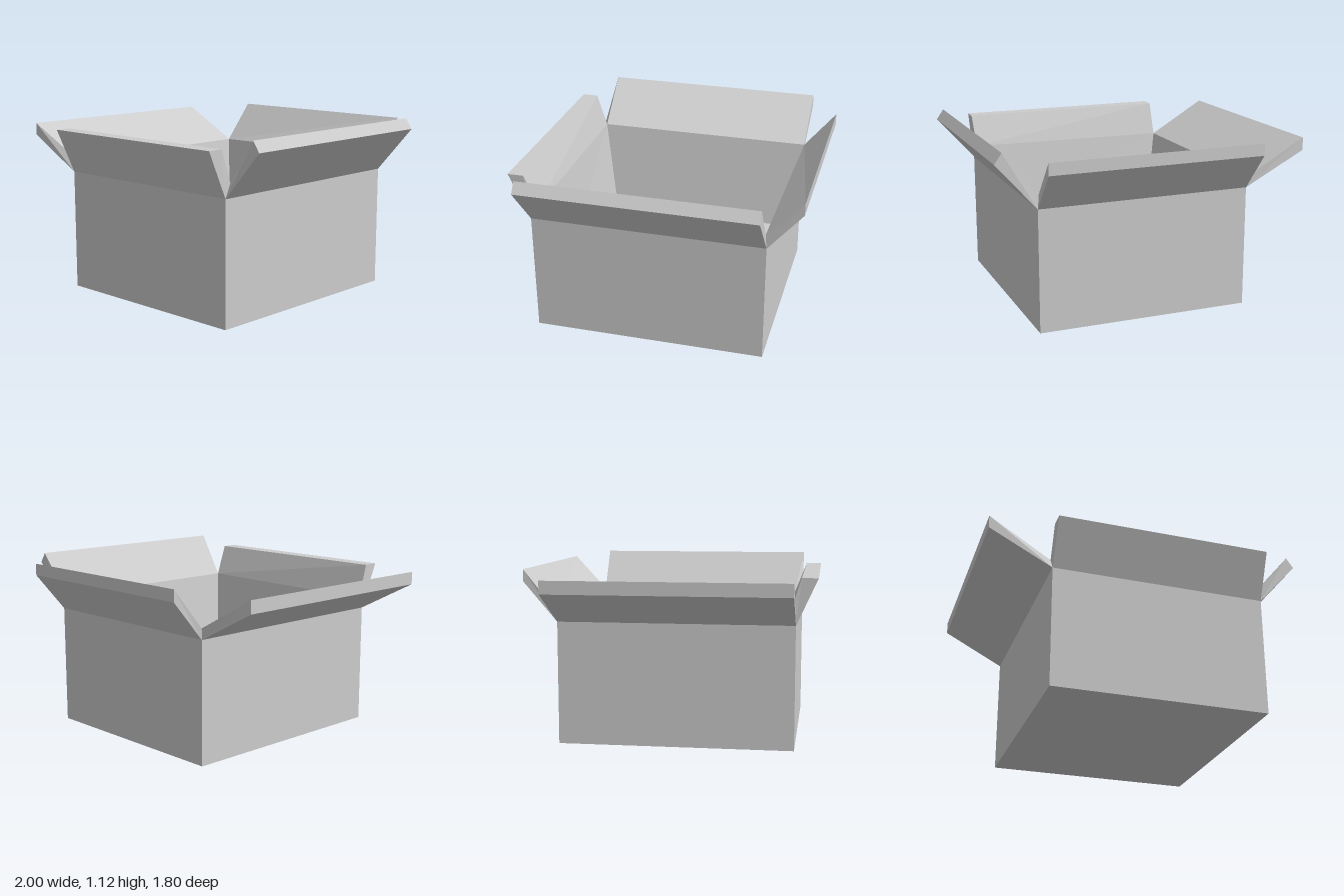
import * as THREE from 'three';

const cardboard = new THREE.MeshStandardMaterial({ color: 0xcccccc });
cardboard.name = 'cardboard grey';

// Flat-shaded mesh from four-cornered faces, corners counter-clockwise
function quadMesh(name, quads) {
  const pos = quads.flatMap(([a, b, c, d]) => [a, b, c, a, c, d].flat());
  const geo = new THREE.BufferGeometry();
  geo.setAttribute('position', new THREE.Float32BufferAttribute(pos, 3));
  geo.computeVertexNormals();
  const mesh = new THREE.Mesh(geo, cardboard);
  mesh.name = name;
  return mesh;
}

export function createModel() {
  const box = new THREE.Group();
  box.name = 'openBox';

  // Corner rings, in order: front right, front left, back left, back right
  const ring = (x0, x1, z0, z1, y) => [[x0, y, z1], [x1, y, z1], [x1, y, z0], [x0, y, z0]];
  const base = ring(-0.605, 0.75, -0.69, 0.77, 0);
  const rim = ring(-0.605, 0.75, -0.69, 0.77, 0.765);
  const floor = ring(-0.51, 0.66, -0.6, 0.64, 0.24);
  const innerRim = [[-0.61, 0.835, 0.735], [0.74, 0.85, 0.72], [0.74, 0.85, -0.68], [-0.61, 0.835, -0.695]];

  // Flap tips: how far out and how high the outer and inner tip edges lie
  const sides = [
    { name: 'front', axis: 2, outer: [0.9, 1.05], inner: [0.8, 1.05] },
    { name: 'left', axis: 0, outer: [1, 1.05], inner: [0.955, 1.115] },
    { name: 'back', axis: 2, outer: [-0.9, 1.01], inner: [-0.9, 1.085] },
    { name: 'right', axis: 0, outer: [-1, 0.97], inner: [-1, 1.05] },
  ];
  const tip = (corner, axis, [reach, y]) =>
    axis === 0 ? [reach, y, corner[2]] : [corner[0], y, reach];

  sides.forEach(({ name, axis, outer, inner }, i) => {
    const j = (i + 1) % 4;
    const a = rim[i], b = rim[j], an = innerRim[i], bn = innerRim[j];
    const aT = tip(a, axis, outer), bT = tip(b, axis, outer);
    const aI = tip(a, axis, inner), bI = tip(b, axis, inner);

    // Upright outside and sloping inside of the wall
    box.add(quadMesh(name + 'Wall', [
      [base[i], base[j], b, a],
      [an, bn, floor[j], floor[i]],
    ]));
    // Folded-out flap: outside, tip edge, inside and two ends
    box.add(quadMesh(name + 'Flap', [
      [a, b, bT, aT],
      [aT, bT, bI, aI],
      [aI, bI, bn, an],
      [a, aT, aI, an],
      [b, bn, bI, bT],
    ]));
  });

  // Inside floor and underside
  box.add(quadMesh('floor', [floor]));
  box.add(quadMesh('underside', [[...base].reverse()]));
  return box;
}
